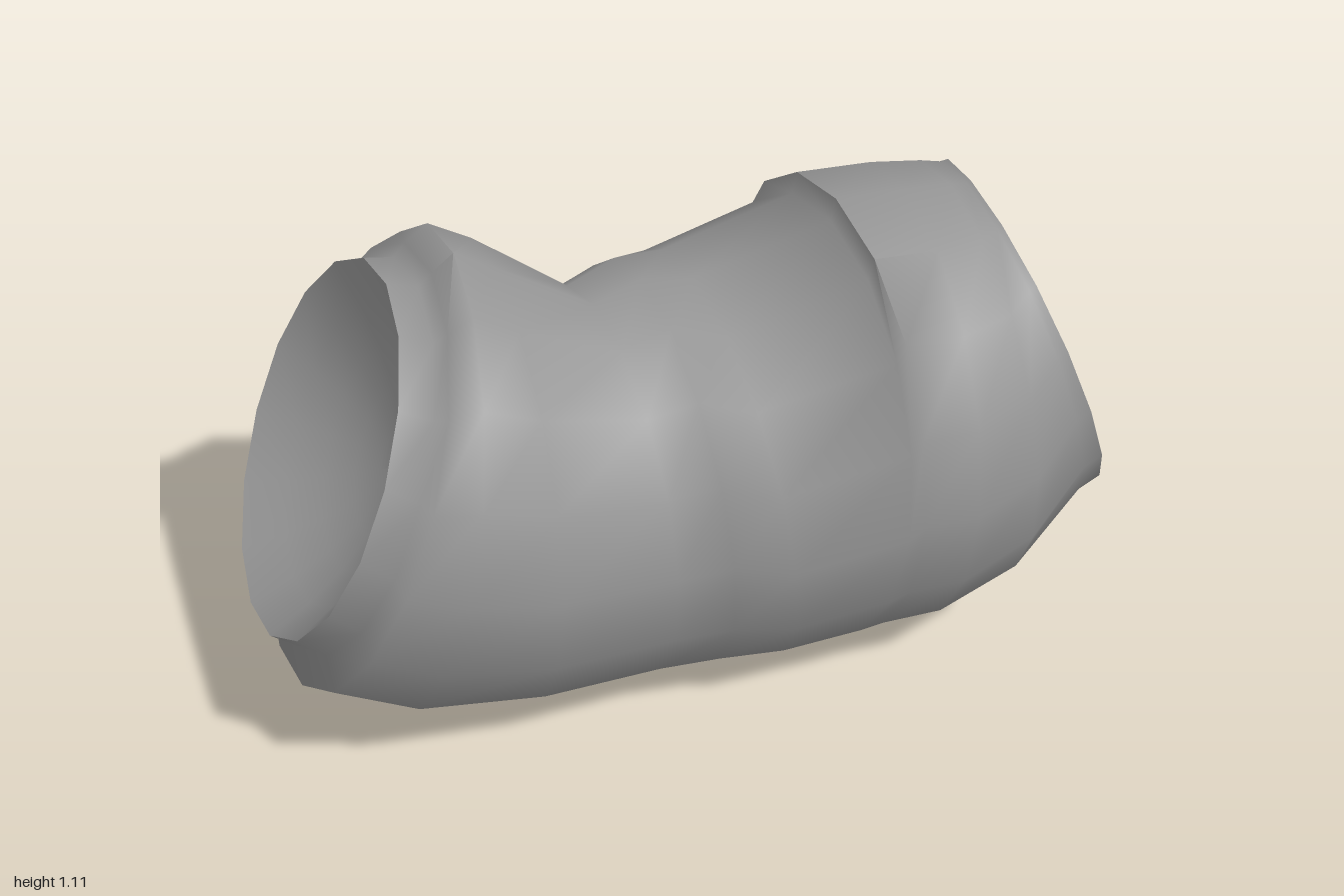
import * as THREE from 'three';
import { toCreasedNormals } from 'three/addons/utils/BufferGeometryUtils.js';

const SIDES = 16;
const material = new THREE.MeshStandardMaterial({ color: 0x969696, side: THREE.DoubleSide });

// A tilted ring: top and bottom point in x/y, half width above and below, skew along x
const ring = (tx, ty, bx, by, wTop, wBot = wTop, skew = 0) => ({
  cx: (tx + bx) / 2, cy: (ty + by) / 2, hx: (tx - bx) / 2, hy: (ty - by) / 2, wTop, wBot, skew,
});

// The same ring shrunk by s and pushed by d along its axis
function inset(r, s, d) {
  const len = Math.hypot(r.hx, r.hy);
  return {
    cx: r.cx + d * r.hy / len, cy: r.cy - d * r.hx / len,
    hx: r.hx * s, hy: r.hy * s, wTop: r.wTop * s, wBot: r.wBot * s, skew: 0,
  };
}

// Skin a list of rings
function loft(name, rings) {
  const pos = [], index = [];
  rings.forEach((r, i) => {
    for (let j = 0; j < SIDES; j++) {
      const a = j / SIDES * Math.PI * 2, c = Math.cos(a), s = Math.sin(a);
      const w = THREE.MathUtils.lerp(r.wTop, r.wBot, (1 - c) / 2);
      pos.push(r.cx + r.hx * c + r.skew * s, r.cy + r.hy * c, w * s);
      if (i === rings.length - 1) continue;
      const k = (j + 1) % SIDES, p = i * SIDES, q = p + SIDES;
      index.push(p + j, p + k, q + j, p + k, q + k, q + j);
    }
  });
  const geo = new THREE.BufferGeometry();
  geo.setAttribute('position', new THREE.Float32BufferAttribute(pos, 3));
  geo.setIndex(index);
  const mesh = new THREE.Mesh(toCreasedNormals(geo, 1.2), material);
  mesh.name = name;
  return mesh;
}

// Flat recessed panel with the drinking hole and a small tear
function lidPanel(r) {
  const shape = new THREE.Shape();
  shape.setFromPoints(Array.from({ length: SIDES }, (_, j) => {
    const a = j / SIDES * Math.PI * 2;
    return new THREE.Vector2(r.wTop * Math.sin(a), r.hy * Math.cos(a));
  }));
  const holes = [
    [[0.06, 0.59], [0.06, 0.77], [0.13, 0.77], [0.16, 0.715], [0.14, 0.6]],
    [[-0.165, 0.64], [-0.22, 0.61], [-0.23, 0.59]],
  ];
  for (const h of holes) {
    shape.holes.push(new THREE.Path(h.map(([z, y]) => new THREE.Vector2(-z, y - r.cy))));
  }
  const geo = new THREE.ShapeGeometry(shape);
  const p = geo.attributes.position;
  for (let i = 0; i < p.count; i++) {
    const u = p.getX(i), v = p.getY(i);
    p.setXYZ(i, r.cx + r.hx * v / r.hy, r.cy + v, -u);
  }
  geo.computeVertexNormals();
  const mesh = new THREE.Mesh(geo, material);
  mesh.name = 'lidPanel';
  return mesh;
}

export function createModel() {
  const group = new THREE.Group();
  group.name = 'crushedCan';

  // Crumpled wall from the base rim to the lid rim
  const base = ring(-0.64, 1.06, -1, 0.28, 0.44);
  const lid = ring(0.71, 1.08, 1, 0.29, 0.41);
  group.add(loft('wall', [
    base,
    ring(-0.57, 1.04, -0.945, 0.25, 0.485),
    ring(-0.54, 1.07, -0.945, 0.14, 0.515),
    ring(-0.49, 1.11, -0.74, 0.04, 0.54),
    ring(-0.4, 1.055, -0.42, 0.005, 0.53, 0.54),
    ring(-0.18, 0.92, -0.17, 0.008, 0.38, 0.51, 0.05), // pinched waist
    ring(-0.07, 0.965, -0.02, 0.01, 0.42, 0.53, 0.04),
    ring(0.05, 0.945, 0.15, 0.012, 0.51, 0.54, 0.02),
    ring(0.375, 1.035, 0.3, 0.015, 0.535, 0.54, 0.04),
    ring(0.385, 1.09, 0.36, 0.016, 0.54, 0.54, 0.04), // folded step
    ring(0.55, 1.085, 0.53, 0.02, 0.54),
    ring(0.66, 1.08, 0.75, 0.08, 0.48),
    ring(0.7, 1.075, 0.94, 0.26, 0.415),
    lid,
  ]));

  // Domed base, hollowed inwards
  const dome = [1, 0.8, 0.6, 0.4, 0.2, 0.01].map((s) => inset(base, s, 0.2 * (1 - s * s)));
  group.add(loft('baseDome', dome));

  // Sunken lid
  const panel = inset(lid, 0.66, -0.05);
  group.add(loft('lidRecess', [lid, inset(lid, 0.9, -0.02), inset(lid, 0.76, -0.05), panel]));
  group.add(lidPanel(panel));
  return group;
}
